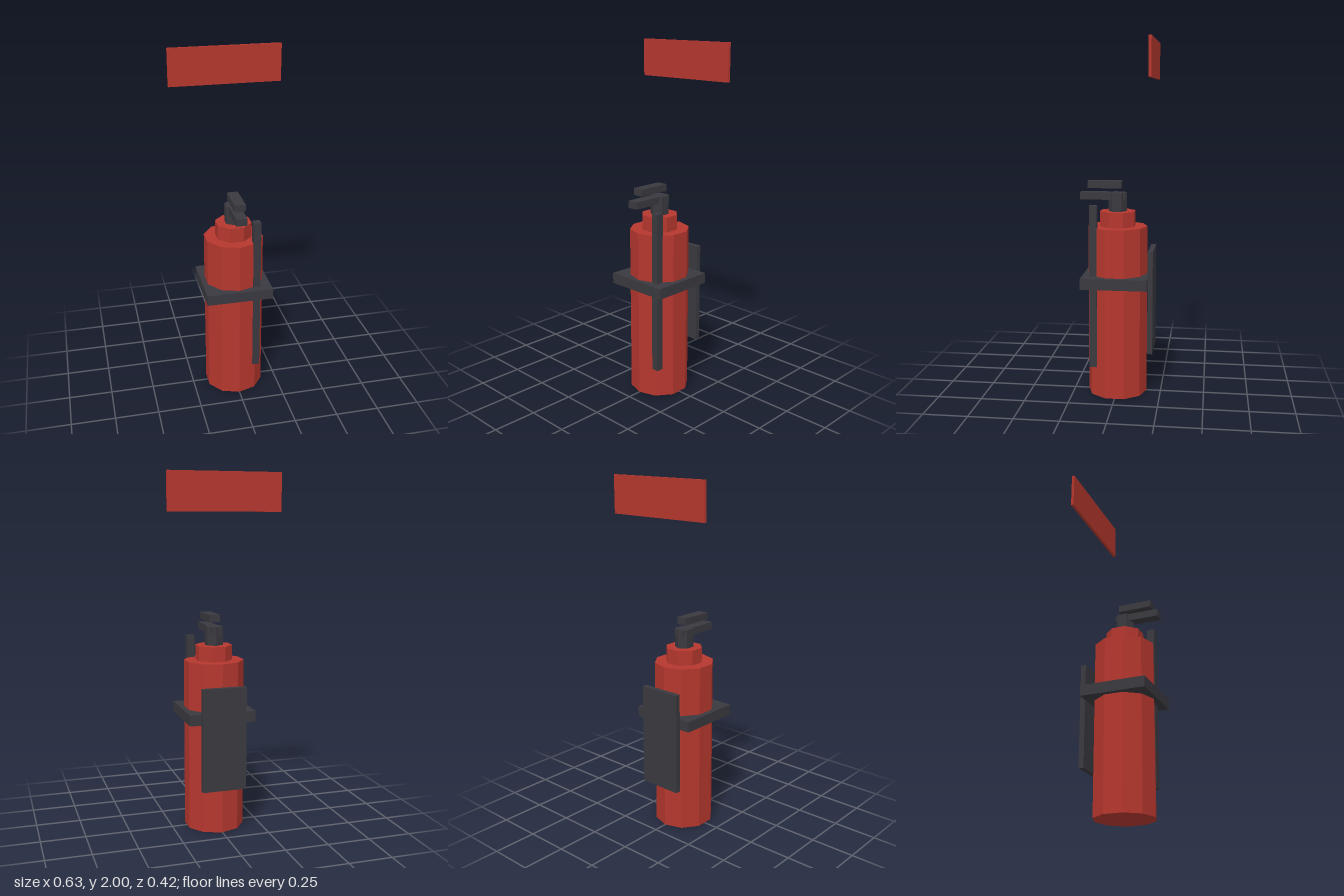
import * as THREE from 'three';

export function createModel() {
  const model = new THREE.Group();
  model.name = 'fireExtinguisher';

  const red = new THREE.MeshStandardMaterial({ color: 0xb5372e });
  red.name = 'safety red';
  const dark = new THREE.MeshStandardMaterial({ color: 0x3a393f });
  dark.name = 'dark grey';

  function add(name, geometry, material, x, y, z) {
    const mesh = new THREE.Mesh(geometry, material);
    mesh.name = name;
    mesh.position.set(x, y, z);
    model.add(mesh);
    return mesh;
  }

  // Box given by its extents on each axis
  function box(name, material, [x0, x1], [y0, y1], [z0, z1]) {
    const geometry = new THREE.BoxGeometry(x1 - x0, y1 - y0, z1 - z0);
    return add(name, geometry, material, (x0 + x1) / 2, (y0 + y1) / 2, (z0 + z1) / 2);
  }

  // Faceted upright prism between two heights
  function prism(name, material, radius, sides, y0, y1) {
    const geometry = new THREE.CylinderGeometry(radius, radius, y1 - y0, sides).toNonIndexed();
    geometry.computeVertexNormals();
    return add(name, geometry, material, 0, (y0 + y1) / 2, 0);
  }

  // Tank, shoulder and valve
  prism('tank', red, 0.169, 10, 0, 0.97);
  prism('shoulder', red, 0.105, 8, 0.97, 1.055).rotation.y = Math.PI / 8;
  prism('valve', dark, 0.053, 6, 1.055, 1.16);

  // Carrying handle and squeeze lever
  box('handle', dark, [-0.031, 0.031], [1.12, 1.161], [-0.043, 0.21]);
  box('lever', dark, [-0.031, 0.031], [1.185, 1.225], [-0.022, 0.167]);

  // Hose hanging beside the tank
  box('hose', dark, [0.084, 0.126], [0.17, 1.097], [0.104, 0.146]);

  // Wall bracket: strap around the tank and back plate
  box('strap', dark, [-0.19, 0.19], [0.637, 0.698], [-0.181, 0.189]);
  box('backPlate', dark, [-0.126, 0.126], [0.26, 0.843], [-0.21, -0.181]);

  // Wall sign above
  box('sign', red, [-0.315, 0.315], [1.792, 2], [-0.211, -0.195]);

  return model;
}
